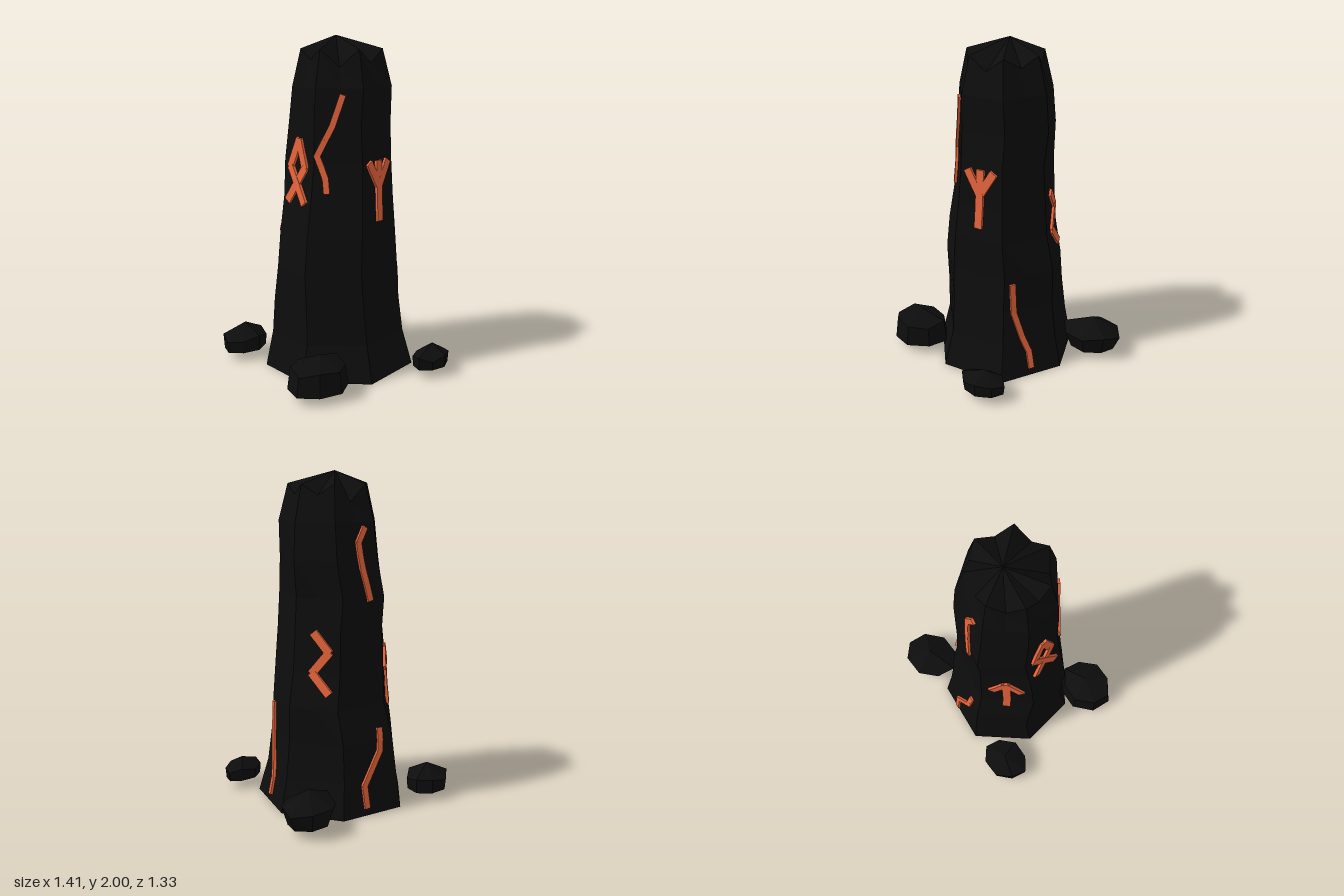
import * as THREE from 'three';

const stone = new THREE.MeshStandardMaterial({ color: 0x0d0d0d, flatShading: true });
const ember = new THREE.MeshStandardMaterial({ color: 0xe8653c, flatShading: true });

// Seven-sided footprint [x, z], running from the left side round by the front
const FOOT = [[0.415, 0.065], [0.18, 0.4], [-0.225, 0.38], [-0.45, 0.04], [-0.37, -0.31], [-0.04, -0.495], [0.32, -0.31]];
// Reach of each level towards +x, -x, +z, -z
const REACH = [
  [0.415, 0.455, 0.4, 0.495], [0.37, 0.4, 0.34, 0.465], [0.345, 0.4, 0.315, 0.435], [0.345, 0.41, 0.3, 0.375],
  [0.3, 0.385, 0.295, 0.365], [0.285, 0.345, 0.28, 0.355], [0.27, 0.315, 0.27, 0.37], [0.295, 0.31, 0.255, 0.325],
  [0.28, 0.295, 0.265, 0.295], [0.225, 0.245, 0.215, 0.245],
];
const STEP = 1.925 / 9;

// Corner i of the column at height y
function corner(i, y) {
  const k = Math.min(Math.max(y / STEP, 0), 9), lo = Math.min(Math.floor(k), 8);
  const r = REACH[lo].map((v, n) => THREE.MathUtils.lerp(v, REACH[lo + 1][n], k - lo));
  const [x, z] = FOOT[i % 7];
  return new THREE.Vector3(
    x > 0 ? x * r[0] / 0.415 : x * r[1] / 0.45, y,
    z > 0 ? z * r[2] / 0.4 : z * r[3] / 0.495);
}

// Closed faceted body from stacked rings, a flat bottom and a peak
function loft(rings, peak) {
  const pos = [], n = rings[0].length;
  const tri = (...p) => p.forEach(v => pos.push(v.x, v.y, v.z));
  const base = rings[0].reduce((s, p) => s.add(p), new THREE.Vector3()).divideScalar(n);
  for (let j = 0; j < n; j++) {
    const m = (j + 1) % n;
    for (let k = 0; k < rings.length - 1; k++) {
      const a = rings[k][j], b = rings[k][m], c = rings[k + 1][m], d = rings[k + 1][j];
      tri(a, d, c);
      tri(a, c, b);
    }
    const top = rings[rings.length - 1];
    tri(top[j], peak, top[m]);
    tri(rings[0][j], rings[0][m], base);
  }
  const g = new THREE.BufferGeometry();
  g.setAttribute('position', new THREE.Float32BufferAttribute(pos, 3));
  g.computeVertexNormals();
  return g;
}

// Standing stone, chipped between the corners of its crown
function column() {
  const rings = REACH.map((_, k) => {
    const ring = [];
    for (let i = 0; i < 7; i++) {
      const a = corner(i, k * STEP), mid = a.clone().lerp(corner(i + 1, k * STEP), 0.5);
      if (k === 9) mid.y -= 0.06 + 0.02 * (i % 3);
      ring.push(a, mid);
    }
    return ring;
  });
  return loft(rings, new THREE.Vector3(0, 2, -0.05));
}

// Loose rock: eight-sided, widest at its shoulder or foot
function rock([x, z, rx, rz, top, shoulder, foot, waist]) {
  const ring = (y, s, wobble) => Array.from({ length: 8 }, (_, i) => {
    const a = i * Math.PI / 4, f = s * (i % 2 ? 0.95 + 0.04 * Math.sin(i * 5 + x * 9) : 1);
    return new THREE.Vector3(x + rx * f * Math.cos(a), y + wobble * Math.sin(i * 2.4 + z * 7), z + rz * f * Math.sin(a));
  });
  return loft([ring(0.05, foot, 0), ring(shoulder, waist, 0.015)], new THREE.Vector3(x + 0.01, top, z));
}

// Glowing band on one face through points [sideways offset, height]
function band(face, points, width) {
  const group = new THREE.Group();
  const along = y => corner(face + 1, y).sub(corner(face, y)).normalize();
  const at = ([u, y]) => corner(face, y).lerp(corner(face + 1, y), 0.5).addScaledVector(along(y), u);
  for (let i = 0; i < points.length - 1; i++) {
    const [p, q] = [points[i], points[i + 1]];
    const parts = Math.ceil(Math.hypot(q[0] - p[0], q[1] - p[1]) / 0.13);
    const mix = t => at([p[0] + (q[0] - p[0]) * t, p[1] + (q[1] - p[1]) * t]);
    for (let s = 0; s < parts; s++) {
      const a = mix(s / parts), b = mix((s + 1) / parts);
      const dir = b.clone().sub(a), len = dir.length();
      dir.normalize();
      const out = new THREE.Vector3(0, 1, 0).cross(along((p[1] + q[1]) / 2)).negate();
      out.addScaledVector(dir, -out.dot(dir)).normalize();
      if (out.dot(a) < 0) out.negate();
      const side = dir.clone().cross(out);
      const mesh = new THREE.Mesh(new THREE.BoxGeometry(width, len + 0.012, 0.03), ember);
      mesh.quaternion.setFromRotationMatrix(new THREE.Matrix4().makeBasis(side, dir, out));
      mesh.position.copy(a).add(b).multiplyScalar(0.5);
      mesh.name = 'glowSegment';
      group.add(mesh);
    }
  }
  return group;
}

export function createModel() {
  const model = new THREE.Group();
  const add = (object, name) => { object.name = name; model.add(object); };

  add(new THREE.Mesh(column(), stone), 'standingStone');

  // x, z, half width, half depth, top, shoulder height, foot scale, shoulder scale
  [
    [-0.32, -0.54, 0.157, 0.127, 0.21, 0.13, 0.95, 1],
    [0.515, -0.197, 0.19, 0.158, 0.25, 0.155, 0.78, 1],
    [-0.515, 0.207, 0.195, 0.168, 0.24, 0.175, 1, 0.9],
    [0.143, 0.558, 0.143, 0.1, 0.18, 0.115, 0.95, 1],
  ].forEach((r, i) => add(new THREE.Mesh(rock(r), stone), 'looseRock' + (i + 1)));

  // Cracks
  [
    [0, [[0.11, 0.6], [0.1, 0.42], [0.05, 0.25], [0.01, 0.15], [0, 0.05]]],
    [2, [[-0.02, 1.67], [0.03, 1.5], [0.12, 1.33], [0.07, 1.2], [0.06, 1.12]]],
    [5, [[-0.06, 1.68], [-0.01, 1.6], [-0.02, 1.45], [-0.04, 1.27]]],
    [5, [[-0.09, 0.5], [-0.07, 0.37], [0.05, 0.18], [0.04, 0.05]]],
  ].forEach(([face, pts], i) => add(band(face, pts, 0.036), 'glowingCrack' + (i + 1)));

  // Carved signs, each made of strokes
  const signs = {
    forkSign: [1, [[0, 0.94], [0, 1.285]], [[0, 1.14], [0.085, 1.28]], [[0, 1.14], [-0.085, 1.28]]],
    zigzagSign: [6, [[0.02, 1.085], [-0.075, 0.975], [0.025, 0.85], [-0.085, 0.735]]],
    arrowSign: [4, [[0, 0.6], [0, 0.96]], [[0, 0.95], [0.09, 0.84]], [[0, 0.95], [-0.09, 0.84]]],
    loopSign: [3, [[0, 1.41], [0.065, 1.25], [-0.075, 1.05]], [[0, 1.41], [-0.065, 1.25], [0.075, 1.05]]],
  };
  for (const [name, [face, ...strokes]] of Object.entries(signs)) {
    const sign = new THREE.Group();
    strokes.forEach(s => sign.add(band(face, s, 0.05)));
    add(sign, name);
  }
  return model;
}
